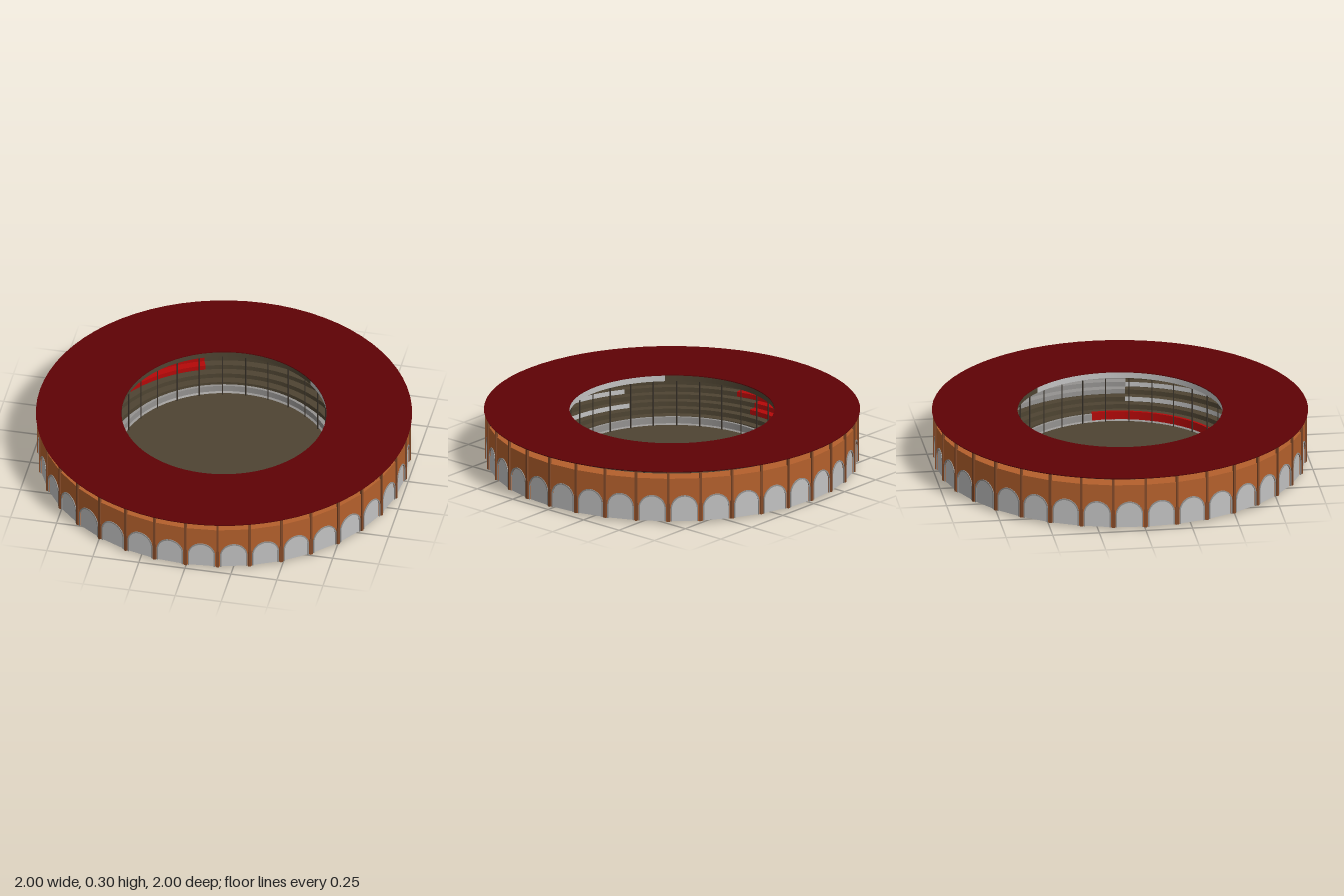
import * as THREE from 'three';

const BAYS = 36;
const STEP = (Math.PI * 2) / BAYS;
const R = 0.985;                            // wall corner radius
const APOTHEM = R * Math.cos(STEP / 2);
const HALF = R * Math.sin(STEP / 2);        // half width of one bay
const BASE = 0.015, SPRING = 0.088;         // arch foot and spring heights
const deg = THREE.MathUtils.degToRad;

function mat(name, color, doubleSided = false) {
  const m = new THREE.MeshStandardMaterial({ color });
  m.name = name;
  if (doubleSided) m.side = THREE.DoubleSide;
  return m;
}

// Traces an arch from its left foot over the top to its right foot
function traceArch(shape, halfWidth) {
  shape.lineTo(-halfWidth, BASE);
  shape.lineTo(-halfWidth, SPRING);
  shape.absarc(0, SPRING, halfWidth, Math.PI, 0, true);
  shape.lineTo(halfWidth, BASE);
}

export function createModel() {
  const model = new THREE.Group();
  model.name = 'roundArena';

  const roofRed = mat('roofRed', 0x5e0205);
  const brick = mat('brick', 0xb4602c, true);
  const pierBrown = mat('pierBrown', 0x844a28);
  const stone = mat('paleStone', 0xc2c2c2, true);
  const trimGrey = mat('trimGrey', 0x949290, true);
  const earth = mat('earthBrown', 0x4e4432, true);
  const seatRed = mat('seatRed', 0xb40808, true);
  const iron = mat('darkIron', 0x3a332b);

  const add = (name, geo, material, parent = model) => {
    const mesh = new THREE.Mesh(geo, material);
    mesh.name = name;
    parent.add(mesh);
    return mesh;
  };

  // Revolved strip, one piece per profile edge so that corners stay sharp
  const ring = (name, pts, material, from = 0, to = 360) => {
    const group = new THREE.Group();
    group.name = name;
    const segments = Math.max(8, Math.round((to - from) / 5));
    for (let i = 0; i < pts.length - 1; i++) {
      const pair = [pts[i], pts[i + 1]].map(p => new THREE.Vector2(p[0], p[1]));
      add(name, new THREE.LatheGeometry(pair, segments, deg(from), deg(to - from)), material, group);
    }
    model.add(group);
  };

  // Arena floor
  const floor = add('arenaFloor', new THREE.CylinderGeometry(0.565, 0.565, 0.01, 72), earth);
  floor.position.y = 0.005;

  // Flat ring roof
  ring('roof', [[0.545, 0.295], [0.998, 0.295], [1.0, 0.3], [0.545, 0.3], [0.545, 0.295]], roofRed);

  // Band hanging below the roof's inner edge, pale on one inner half
  ring('roofFascia', [[0.552, 0.262], [0.552, 0.295]], earth);
  ring('paleFasciaFace', [[0.549, 0.262], [0.549, 0.295]], stone, -45, 135);

  // Barrier around the floor, partly red
  const barrier = top => [[0.575, 0.01], [0.575, top], [0.59, top], [0.59, 0.01]];
  ring('redBarrier', barrier(0.06), seatRed, 17, 97);
  ring('paleBarrier', barrier(0.05), trimGrey, 97, 377);
  ring('walkway', [[0.565, 0.01], [0.575, 0.016], [0.62, 0.016]], trimGrey);

  // Stepped stands with coloured seat rows
  const tiers = 8, r0 = 0.62, r1 = 0.955, y0 = 0.016, y1 = 0.22;
  for (let i = 0; i < tiers; i++) {
    const ra = r0 + ((r1 - r0) * i) / tiers, rb = r0 + ((r1 - r0) * (i + 1)) / tiers;
    const ya = y0 + ((y1 - y0) * i) / tiers, yb = y0 + ((y1 - y0) * (i + 1)) / tiers;
    const seats = [[ra - 0.003, ya + 0.003], [ra - 0.003, yb + 0.003], [rb - 0.003, yb + 0.003]];
    ring('standTier', [[ra, ya], [ra, yb], [rb, yb]], earth);
    if (i > 1 && i < 6) ring('redSeats', seats, seatRed, i > 3 ? 185 : 200, i > 3 ? 285 : 275);
    if (i > 0 && i % 2 === 0) ring('paleSeats', seats.slice(0, 2), stone, -30, 80);
    if (i > 2) ring('paleStand', seats, trimGrey, 80, 160);
  }

  // Slim columns carrying the inner roof edge
  const columnGeo = new THREE.CylinderGeometry(0.0035, 0.0035, 0.255, 8);
  for (let i = 0; i < 28; i++) {
    const a = (i / 28) * Math.PI * 2;
    add('innerColumn', columnGeo, iron).position.set(0.557 * Math.sin(a), 0.1375, 0.557 * Math.cos(a));
  }

  // Inner lining of the outer wall and the ledge on top of it
  ring('lowerLining', [[0.968, 0.015], [0.968, 0.09]], trimGrey);
  ring('upperLining', [[0.968, 0.09], [0.968, 0.25]], earth);
  ring('wallLedge', [[0.89, 0.251], [0.974, 0.251]], brick);

  // One wall bay with an arched opening
  const bay = new THREE.Shape();
  bay.moveTo(-HALF, BASE);
  traceArch(bay, 0.067);
  bay.lineTo(HALF, BASE);
  bay.lineTo(HALF, 0.255);
  bay.lineTo(-HALF, 0.255);
  bay.closePath();
  const bayGeo = new THREE.ExtrudeGeometry(bay, { depth: 0.008, bevelEnabled: false, curveSegments: 16 });

  // Arch surround
  const trim = new THREE.Shape();
  trim.moveTo(-0.073, BASE);
  traceArch(trim, 0.073);
  trim.lineTo(0.066, BASE);
  trim.lineTo(0.066, SPRING);
  trim.absarc(0, SPRING, 0.066, 0, Math.PI, false);
  trim.lineTo(-0.066, BASE);
  trim.closePath();
  const trimGeo = new THREE.ExtrudeGeometry(trim, { depth: 0.004, bevelEnabled: false, curveSegments: 16 });

  // Recessed pane
  const pane = new THREE.Shape();
  pane.moveTo(-0.067, BASE);
  traceArch(pane, 0.067);
  pane.closePath();
  const paneGeo = new THREE.ShapeGeometry(pane, 16);

  const postGeo = new THREE.BoxGeometry(0.012, 0.28, 0.014);
  const footGeo = new THREE.BoxGeometry(0.018, 0.1, 0.012);

  // Repeat the bays and the piers between them
  for (let i = 0; i < BAYS; i++) {
    const section = new THREE.Group();
    section.name = 'wallBay';
    section.rotation.y = (i + 0.5) * STEP;
    add('wall', bayGeo, brick, section).position.z = APOTHEM - 0.008;
    add('archTrim', trimGeo, trimGrey, section).position.z = APOTHEM;
    add('archPane', paneGeo, stone, section).position.z = APOTHEM - 0.003;
    model.add(section);

    const pier = new THREE.Group();
    pier.name = 'pier';
    pier.rotation.y = i * STEP;
    add('post', postGeo, pierBrown, pier).position.set(0, 0.155, 0.986);
    add('postFoot', footGeo, pierBrown, pier).position.set(0, 0.065, 0.984);
    model.add(pier);
  }

  return model;
}
